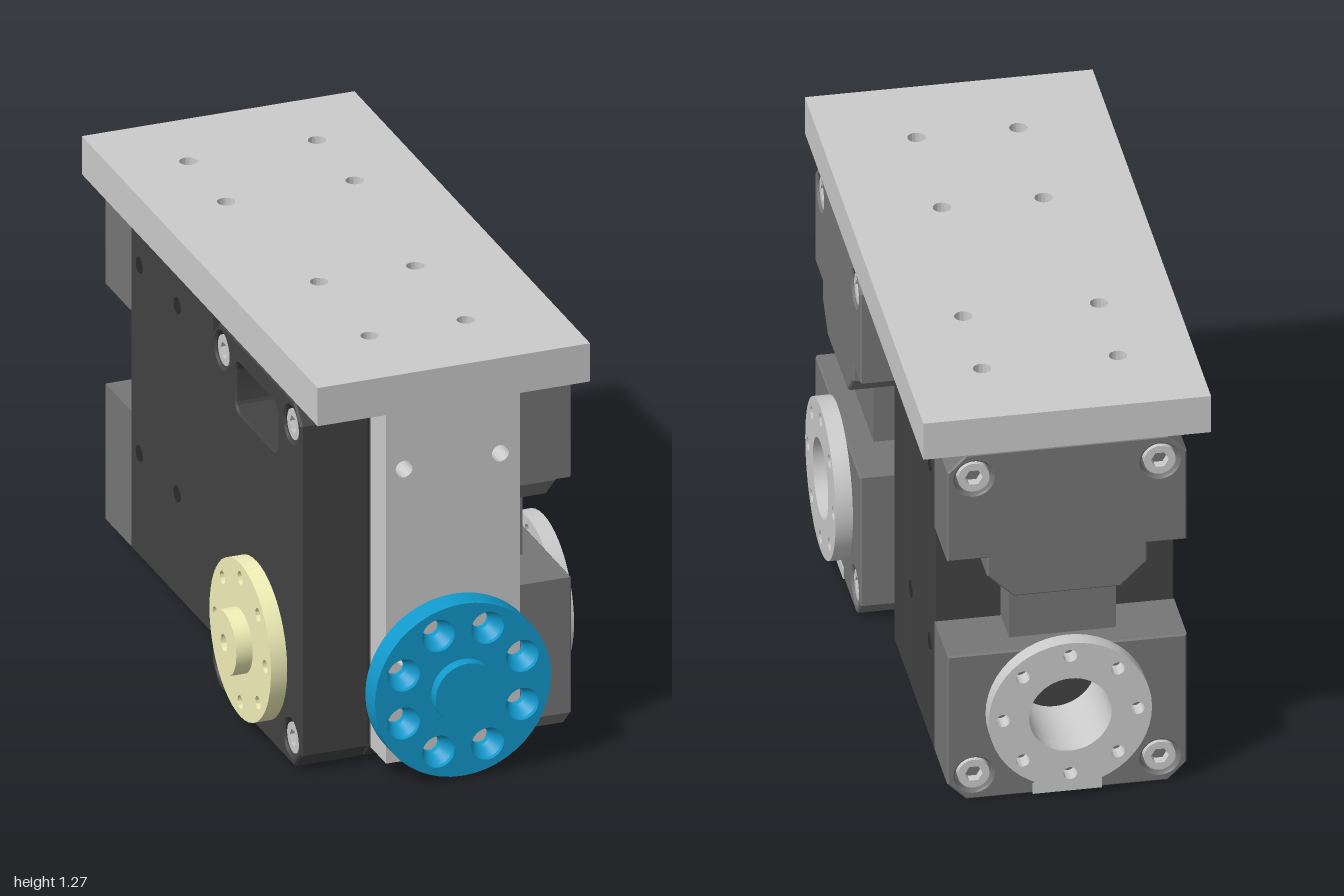
import * as THREE from 'three';
import { toCreasedNormals } from 'three/addons/utils/BufferGeometryUtils.js';

const paint = (color) => new THREE.MeshStandardMaterial({ color });
const grey = paint(0xcccccc), casing = paint(0x424242), caseBack = paint(0x767676);
const black = paint(0x161616), holeDark = paint(0x2c2c2c);
const cream = paint(0xf2f0b8), blue = paint(0x1199cc);
const HALF = 0.3475, TALL = 1.145, CH = 0.055, AXIS = 0.28;

function add(parent, name, geo, mat, x = 0, y = 0, z = 0) {
  const mesh = new THREE.Mesh(geo, mat);
  mesh.name = name;
  mesh.position.set(x, y, z);
  parent.add(mesh);
  return mesh;
}

const polygon = (pts) => new THREE.Shape(pts.map(([x, y]) => new THREE.Vector2(x, y)));
const rect = (x0, y0, x1, y1) => polygon([[x0, y0], [x1, y0], [x1, y1], [x0, y1]]);
const disc = (r, x = 0, y = 0) => new THREE.Shape().absarc(x, y, r, 0, Math.PI * 2, false);

// Extrudes a shape with round holes [x, y, r] from z0 to z1
function slab(shape, z0, z1, holes = [], bevel = 0, segments = 12) {
  holes.forEach(([x, y, r]) => shape.holes.push(new THREE.Path().absarc(x, y, r, 0, Math.PI * 2, true)));
  const geo = new THREE.ExtrudeGeometry(shape, {
    depth: z1 - z0 - 2 * bevel, bevelEnabled: bevel > 0, bevelSize: bevel,
    bevelThickness: bevel, bevelOffset: -bevel, bevelSegments: 1, curveSegments: segments * 2,
  });
  geo.translate(0, 0, z0 + bevel);
  return toCreasedNormals(geo, 0.5);
}

// Eight points on a bolt circle
const boltCircle = (radius, r, start = 0) => Array.from({ length: 8 }, (_, i) => {
  const a = start + i * Math.PI / 4;
  return [Math.cos(a) * radius, Math.sin(a) * radius, r];
});

function cylinderZ(r, z0, z1, open = false) {
  return new THREE.CylinderGeometry(r, r, z1 - z0, 48, 1, open)
    .rotateX(Math.PI / 2).translate(0, 0, (z0 + z1) / 2);
}

const caseOutline = () => polygon([
  [-HALF + CH, 0], [HALF - CH, 0], [HALF, CH], [HALF, TALL - CH],
  [HALF - CH, TALL], [-HALF + CH, TALL], [-HALF, TALL - CH], [-HALF, CH],
]);

// Socket head screw sunk in its bore, facing +z
function screw(boreMaterial) {
  const g = new THREE.Group();
  g.name = 'caseScrew';
  const head = disc(0.046);
  head.holes.push(new THREE.Path(Array.from({ length: 6 }, (_, i) =>
    new THREE.Vector2(Math.cos(-i * Math.PI / 3) * 0.026, Math.sin(-i * Math.PI / 3) * 0.026))));
  add(g, 'screwHead', slab(head, -0.035, -0.006), grey);
  add(g, 'screwBore', cylinderZ(0.055, -0.06, -0.035), boreMaterial);
  return g;
}

// Actuator with its output at +z, front face at z = 0 and back face at z = -0.83
function createActuator(name) {
  const g = new THREE.Group();
  g.name = name;
  const bolts = (y) => [[-0.27, y, 0.055], [0.27, y, 0.055]];

  // Front cover with a rounded cable slot
  const front = caseOutline();
  const slot = new THREE.Path();
  const sx = 0.165, s0 = 0.925, s1 = 1.08, r = 0.035;
  slot.absarc(-sx + r, s1 - r, r, Math.PI, Math.PI / 2, true);
  slot.absarc(sx - r, s1 - r, r, Math.PI / 2, 0, true);
  slot.absarc(sx - r, s0 + r, r, 0, -Math.PI / 2, true);
  slot.absarc(-sx + r, s0 + r, r, -Math.PI / 2, -Math.PI, true);
  slot.closePath();
  front.holes.push(slot);
  add(g, 'frontCover', slab(front, -0.21, 0, [...bolts(0.08), ...bolts(1.065)], 0.006), casing);
  add(g, 'slotFloor', new THREE.BoxGeometry(0.36, 0.19, 0.01), black, 0, 1.0025, -0.2);

  // Middle case
  add(g, 'middleCase', slab(caseOutline(), -0.625, -0.21, [], 0.004), casing);

  // Back cover: lower block, neck and upper cap
  const lower = polygon([[-HALF + CH, 0], [HALF - CH, 0], [HALF, CH], [HALF, 0.48], [-HALF, 0.48], [-HALF, CH]]);
  add(g, 'backLowerBlock', slab(lower, -0.83, -0.625, [...bolts(0.08), [0, AXIS, 0.13]], 0.005), caseBack);
  add(g, 'backNeck', new THREE.BoxGeometry(0.31, 0.2, 0.13), caseBack, 0, 0.57, -0.69);
  const cap = polygon([
    [-0.155, 0.66], [0.155, 0.66], [0.232, 0.735], [0.232, 0.795], [HALF, 0.795], [HALF, TALL - CH],
    [HALF - CH, TALL], [-HALF + CH, TALL], [-HALF, TALL - CH], [-HALF, 0.795], [-0.232, 0.795], [-0.232, 0.735],
  ]);
  add(g, 'backUpperCap', slab(cap, -0.83, -0.625, bolts(1.065), 0.005), caseBack);
  add(g, 'bottomTab', new THREE.BoxGeometry(0.2, 0.035, 0.05), grey, 0, 0.0165, -0.808);

  // Screws in both covers
  for (const x of [-0.27, 0.27]) for (const y of [0.08, 1.065]) {
    const a = screw(casing), b = screw(caseBack);
    a.position.set(x, y, 0);
    b.position.set(x, y, -0.83);
    b.rotation.y = Math.PI;
    g.add(a, b);
  }

  // Threaded mounting holes on the sides, top and bottom
  const dot = new THREE.CylinderGeometry(0.025, 0.025, 0.004, 20);
  for (const s of [-1, 1]) for (const z of [-0.265, -0.56]) {
    for (const y of [0.375, 0.967]) add(g, 'sideHole', dot, holeDark, s * HALF, y, z).rotation.z = Math.PI / 2;
    add(g, 'topHole', dot, holeDark, s * 0.197, TALL, z);
    if (z > -0.3) add(g, 'bottomHole', dot, holeDark, s * 0.197, 0.001, z);
  }

  // Output horn
  add(g, 'outputHorn', slab(disc(0.24), 0, 0.05, boltCircle(0.195, 0.02)), cream, 0, AXIS, 0);
  add(g, 'hornBoss', slab(disc(0.097), 0.05, 0.1, [[0, 0, 0.025]]), cream, 0, AXIS, 0);

  // Hollow idler on the back
  add(g, 'idlerRing', slab(disc(0.237), -0.88, -0.83, [[0, 0, 0.12], ...boltCircle(0.195, 0.02)]), grey, 0, AXIS, 0);
  add(g, 'idlerSleeve', slab(disc(0.13), -0.83, -0.63, [[0, 0, 0.12]]), grey, 0, AXIS, 0);
  return g;
}

export function createModel() {
  const model = new THREE.Group();
  model.name = 'twoAxisJoint';

  // Front actuator points to the model's right, rear one points forward
  const frontUnit = createActuator('frontActuator');
  frontUnit.position.set(-0.392, 0, 0.418);
  frontUnit.rotation.y = -Math.PI / 2;
  const rearUnit = createActuator('rearActuator');
  rearUnit.position.set(0.027, 0, -0.117);
  model.add(frontUnit, rearUnit);

  // Top mounting plate
  const topHoles = [];
  for (const x of [-0.122, 0.173]) for (const z of [0.218, 0.612]) topHoles.push([x, -z, 0.026]);
  for (const x of [-0.17, 0.224]) for (const z of [-0.385, -0.68]) topHoles.push([x, -z, 0.026]);
  const top = slab(rect(-0.39, -0.89, 0.445, 0.95), 0, 0.12, topHoles);
  add(model, 'topPlate', top.rotateX(-Math.PI / 2), grey, 0, 1.146, 0);

  // Front hanging plate
  const frontHoles = [];
  for (const x of [-0.125, 0.17]) for (const y of [0.375, 0.967]) frontHoles.push([x, y, 0.026]);
  add(model, 'frontPlate', slab(rect(-0.18, 0.05, 0.23, 1.146), 0.768, 0.89, frontHoles), grey);

  // Blue flange with countersunk holes
  const flange = new THREE.Group();
  flange.name = 'frontFlange';
  flange.position.set(0.026, AXIS, 0.89);
  model.add(flange);
  const start = Math.PI / 8, open = blue.clone();
  open.side = THREE.DoubleSide;
  add(flange, 'flangeBase', slab(disc(0.27), 0, 0.02, boltCircle(0.197, 0.026, start)), blue);
  add(flange, 'flangeFace', slab(disc(0.27), 0.02, 0.075, boltCircle(0.197, 0.05, start)), blue);
  const sink = new THREE.CylinderGeometry(0.05, 0.026, 0.04, 28, 1, true).rotateX(Math.PI / 2);
  boltCircle(0.197, 0, start).forEach(([x, y]) => add(flange, 'countersink', sink, open, x, y, 0.04));
  add(flange, 'flangeBoss', cylinderZ(0.097, 0.07, 0.11), blue);
  return model;
}
